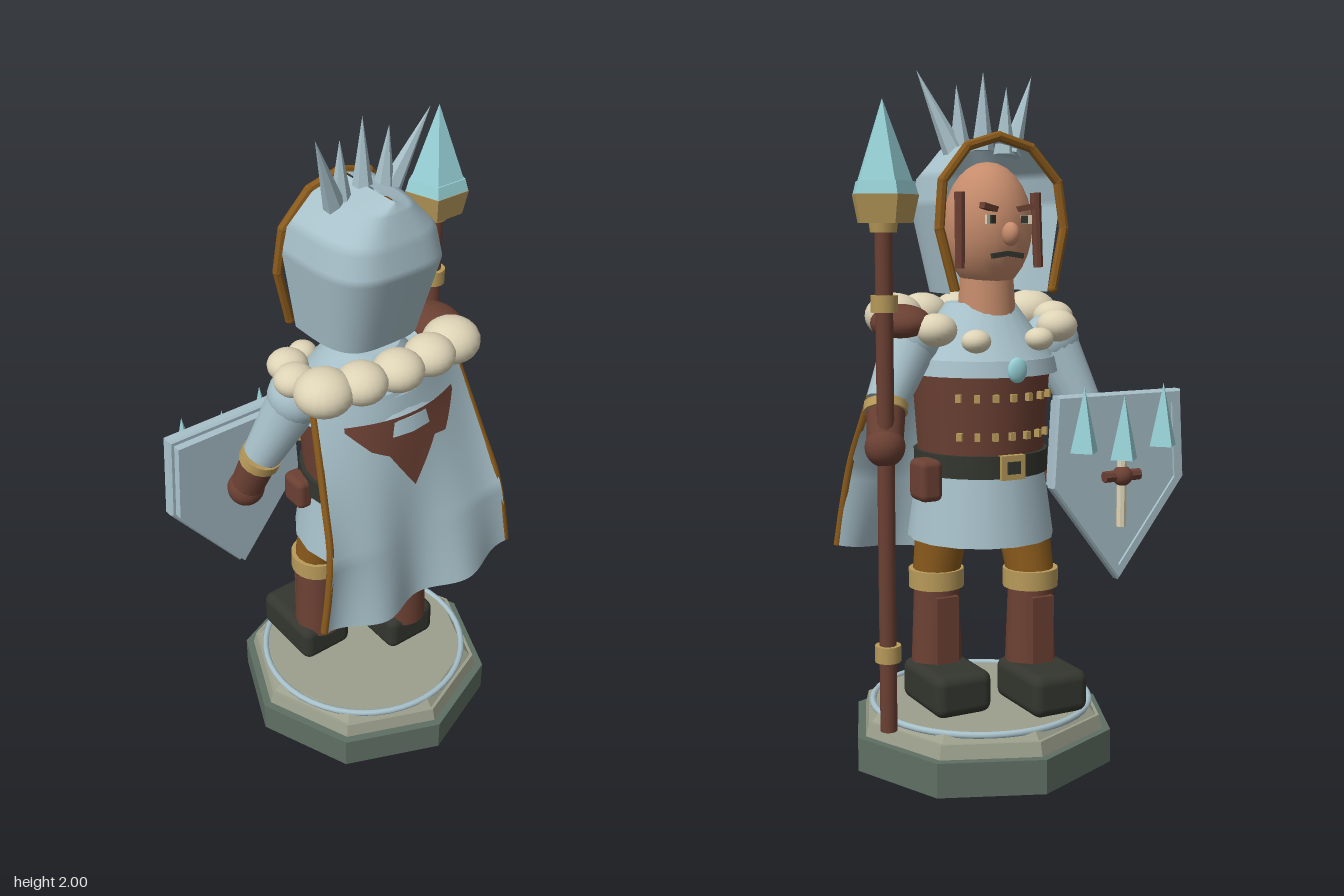
import * as THREE from 'three';
import { RoundedBoxGeometry } from 'three/addons/geometries/RoundedBoxGeometry.js';
import { ParametricGeometry } from 'three/addons/geometries/ParametricGeometry.js';

const mat = (name, color, side = THREE.FrontSide) => {
  const m = new THREE.MeshStandardMaterial({ color, side });
  m.name = name;
  return m;
};

export function createModel() {
  const stone = mat('dark stone', 0x5f6f63), sage = mat('sage stone', 0x9ca08c);
  const ice = mat('pale blue', 0xa8c1ca, THREE.DoubleSide), brown = mat('brown leather', 0x6b4033, THREE.DoubleSide);
  const dark = mat('dark leather', 0x34362f), gold = mat('gold', 0xb89a5a), ochre = mat('ochre', 0x8a5a1c);
  const cream = mat('cream fur', 0xddd3b6), skin = mat('skin', 0xc68c6c), crystal = mat('ice crystal', 0x98d2d8);

  const root = new THREE.Group();
  root.name = 'frostWarrior';
  const figure = new THREE.Group();
  figure.name = 'figure';
  figure.position.x = 0.05;
  root.add(figure);

  const V = (x, y, z) => new THREE.Vector3(x, y, z);
  const add = (name, geo, m, x = 0, y = 0, z = 0) => {
    const mesh = new THREE.Mesh(geo, m);
    mesh.name = name;
    mesh.position.set(x, y, z);
    figure.add(mesh);
    return mesh;
  };
  const flat = (geo) => {
    const g = geo.index ? geo.toNonIndexed() : geo;
    g.computeVertexNormals();
    return g;
  };
  const box = (name, w, h, d, m, x, y, z) => add(name, new THREE.BoxGeometry(w, h, d), m, x, y, z);
  const ball = (name, r, m, x, y, z, sx = 1, sy = 1, sz = 1) => {
    const b = add(name, new THREE.SphereGeometry(r, 20, 14), m, x, y, z);
    b.scale.set(sx, sy, sz);
    return b;
  };
  // Tapered rod from a to b
  const rod = (name, a, b, r1, r2, m, sides = 16) => {
    const dir = b.clone().sub(a);
    let geo = new THREE.CylinderGeometry(r2, r1, dir.length(), sides);
    if (sides < 10) geo = flat(geo);
    const mid = a.clone().add(b).multiplyScalar(0.5);
    const mesh = add(name, geo, m, mid.x, mid.y, mid.z);
    mesh.quaternion.setFromUnitVectors(V(0, 1, 0), dir.normalize());
    return mesh;
  };
  // Upright frustum between two heights
  const drum = (name, rTop, rBot, y0, y1, m, x = 0, z = 0, sides = 24) => {
    let geo = new THREE.CylinderGeometry(rTop, rBot, y1 - y0, sides);
    if (sides < 10) geo = flat(geo);
    return add(name, geo, m, x, (y0 + y1) / 2, z);
  };
  const lerp = THREE.MathUtils.lerp;

  // Pedestal
  drum('baseSlab', 0.4, 0.4, 0, 0.1, stone, 0, 0, 8);
  drum('baseStep', 0.365, 0.375, 0.1, 0.14, sage, 0, 0, 8);
  drum('baseTop', 0.335, 0.355, 0.14, 0.162, sage, 0, 0, 8);
  add('baseRing', new THREE.TorusGeometry(0.325, 0.01, 8, 48), ice, 0, 0.16, 0).rotation.x = Math.PI / 2;

  // Legs and boots
  for (const [s, z] of [[1, 0.045], [-1, -0.08]]) {
    const x = s * 0.125;
    add('boot', new RoundedBoxGeometry(0.18, 0.125, 0.258, 3, 0.03), dark, x, 0.226, z - 0.068);
    drum('bootShaft', 0.066, 0.076, 0.26, 0.53, brown, x, z);
    box('bootGuard', 0.07, 0.2, 0.02, brown, x, 0.39, z - 0.07);
    drum('bootCuff', 0.082, 0.082, 0.51, 0.565, gold, x, z);
    rod('trouserLeg', V(x, 0.55, z), V(s * 0.1, 0.82, z * 0.4), 0.07, 0.085, ochre);
  }

  // Tunic skirt, belt and vest
  const skirt = add('tunicSkirt', new THREE.CylinderGeometry(0.19, 0.22, 0.21, 16, 1, true), ice, 0, 0.77, 0);
  skirt.scale.x = 0.98;
  drum('skirtLining', 0.17, 0.19, 0.71, 0.87, ice);
  drum('belt', 0.197, 0.197, 0.86, 0.925, dark);
  drum('vest', 0.205, 0.185, 0.92, 1.2, brown);
  drum('mantle', 0.1, 0.215, 1.19, 1.35, ice);
  drum('mantleHem', 0.215, 0.225, 1.15, 1.195, ice);
  box('buckle', 0.075, 0.07, 0.02, gold, 0, 0.892, -0.195);
  box('buckleHole', 0.04, 0.035, 0.008, dark, 0, 0.892, -0.208);
  add('pouch', new RoundedBoxGeometry(0.07, 0.12, 0.095, 2, 0.02), brown, 0.21, 0.855, -0.07);
  add('pouch', new RoundedBoxGeometry(0.06, 0.1, 0.09, 2, 0.02), brown, -0.2, 0.86, -0.06);
  ball('brooch', 0.03, crystal, 0, 1.17, -0.225, 1, 1.2, 0.5);
  for (let i = -3; i <= 3; i++) for (const y of [0.98, 1.09]) {
    const a = i * 0.26, r = 0.196 + (y - 0.98) * 0.07;
    box('vestStud', 0.016, 0.022, 0.016, gold, Math.sin(a) * r, y, -Math.cos(a) * r).rotation.y = -a;
  }

  // Cape with spreading folds
  const cape = (u, v, off = 0) => {
    const edge = v < 0.65 ? lerp(0.1, 0.28, v / 0.65) : lerp(0.28, 0.3, (v - 0.65) / 0.35);
    const centre = 0.19 + 0.105 * v;
    const z = lerp(edge, centre, Math.cos(u * Math.PI / 2)) - 0.025 * v * v * Math.cos(u * 2.2 * Math.PI);
    return V(u * (0.25 + 0.1 * v), lerp(1.26, 0.61 - 0.035 * (1 - u * u), v), z + off);
  };
  for (const off of [0, -0.02]) {
    add('cape', new ParametricGeometry((a, b, t) => t.copy(cape(a * 2 - 1, b, off)), 36, 16), ice);
  }
  for (const s of [-1, 1]) {
    const pts = [0, 0.2, 0.4, 0.6, 0.8, 1].map((v) => cape(s, v, -0.01));
    add('capeTrim', new THREE.TubeGeometry(new THREE.CatmullRomCurve3(pts), 20, 0.012, 6), ochre);
  }
  // Ragged leather panel lying on the cape
  const ragged = [[-0.76, 0.1], [-0.5, 0.2], [-0.3, 0.24], [0, 0.42], [0.3, 0.23], [0.46, 0.24], [0.7, 0.1]];
  add('capePanel', new ParametricGeometry((a, b, t) => {
    const k = Math.min(5, Math.floor(a * 6)), f = a * 6 - k;
    const u = lerp(ragged[k][0], ragged[k + 1][0], f), low = lerp(ragged[k][1], ragged[k + 1][1], f);
    t.copy(cape(u, lerp(0.08, low, b), 0.012));
  }, 24, 6), brown);

  // Fur collar and shoulder guard
  for (const [x, y, z, r] of [
    [-0.225, 1.31, 0.11, 0.085], [-0.12, 1.315, 0.14, 0.075], [0, 1.315, 0.15, 0.075], [0.12, 1.315, 0.14, 0.075],
    [0.225, 1.31, 0.11, 0.085], [-0.245, 1.3, 0, 0.06], [-0.2, 1.28, -0.1, 0.06], [0.19, 1.28, -0.1, 0.06],
    [-0.1, 1.25, -0.17, 0.042], [0.1, 1.25, -0.17, 0.042]]) {
    ball('furTuft', r, cream, x, y, z, 1, 0.78, 1);
  }
  ball('shoulderGuard', 0.1, brown, 0.255, 1.295, -0.01, 0.85, 0.55, 1.08);

  // Arms: shoulder, wrist band, hand
  for (const [a, b, c] of [
    [V(0.23, 1.25, -0.02), V(0.335, 1.08, -0.08), V(0.365, 0.97, -0.14)],
    [V(-0.225, 1.23, -0.02), V(-0.305, 1.02, -0.09), V(-0.33, 0.87, -0.15)]]) {
    ball('shoulder', 0.085, ice, a.x, a.y, a.z);
    rod('sleeve', a, b, 0.08, 0.058, ice);
    const mid = b.clone().lerp(c, 0.2);
    rod('wristBand', b, mid, 0.062, 0.062, gold);
    rod('glove', b, c, 0.056, 0.05, brown);
    ball('hand', 0.056, brown, c.x, c.y, c.z);
  }

  // Head and face
  drum('neck', 0.075, 0.085, 1.3, 1.45, skin, 0, -0.04);
  ball('head', 0.13, skin, 0, 1.565, -0.045, 0.98, 1.4, 1.02);
  ball('nose', 0.03, skin, 0, 1.545, -0.185, 0.8, 1.1, 1);
  for (const s of [-1, 1]) {
    box('eye', 0.042, 0.025, 0.008, cream, s * 0.052, 1.585, -0.168).rotation.y = s * 0.35;
    box('pupil', 0.018, 0.023, 0.008, dark, s * 0.05, 1.585, -0.173).rotation.y = s * 0.35;
    box('eyebrow', 0.065, 0.016, 0.02, brown, s * 0.055, 1.617, -0.166).rotation.set(0, s * 0.35, s * 0.2);
    box('moustache', 0.05, 0.014, 0.014, dark, s * 0.024, 1.488, -0.166).rotation.z = -s * 0.15;
    rod('hairLock', V(s * 0.12, 1.66, -0.11), V(s * 0.125, 1.45, -0.12), 0.016, 0.014, brown, 8);
  }

  // Hood: [height, half width, back depth]
  const hoodRows = [[1.38, 0.155, 0.11], [1.62, 0.193, 0.18], [1.7, 0.178, 0.165], [1.785, 0.1, 0.135], [1.815, 0.004, 0.12]];
  const bend = (v) => Math.sign(v) * Math.abs(v) ** 0.55;
  add('hood', new ParametricGeometry((a, b, t) => {
    const k = Math.min(3, Math.floor(b * 4)), f = b * 4 - k;
    const [y, w, zb] = hoodRows[k].map((n, i) => lerp(n, hoodRows[k + 1][i], f));
    const ang = Math.PI * (1 - a);
    t.set(w * bend(Math.cos(ang)), y, lerp(-0.12, zb, bend(Math.max(0, Math.sin(ang)))));
  }, 24, 16), ice);
  const rim = [[0.155, 1.39, -0.15], [0.197, 1.56, -0.14], [0.182, 1.69, -0.13], [0.1, 1.785, -0.12], [0, 1.815, -0.115]];
  const arch = [...rim.map(([x, y, z]) => V(-x, y, z)), ...rim.slice(0, 4).reverse().map(([x, y, z]) => V(x, y, z))];
  for (let i = 0; i < arch.length - 1; i++) {
    rod('hoodRim', arch[i], arch[i + 1], 0.014, 0.014, ochre, 8);
    ball('hoodRimJoint', 0.014, ochre, arch[i].x, arch[i].y, arch[i].z);
  }

  // Icicle crown
  for (const [bx, by, tx, ty, tz] of [
    [-0.09, 1.77, -0.185, 2, 0.03], [-0.07, 1.77, -0.08, 1.96, -0.01], [0, 1.78, 0, 2, -0.02],
    [0.07, 1.77, 0.08, 1.96, -0.01], [0.09, 1.77, 0.185, 2, 0.03]]) {
    rod('crownSpike', V(bx, by, -0.018), V(tx, ty, tz), 0.032, 0, ice, 6);
  }

  // Spear
  const sx = 0.365, sz = -0.145;
  drum('spearShaft', 0.024, 0.024, 0.165, 1.6, brown, sx, sz, 12);
  for (const y of [0.39, 1.36]) drum('spearBand', 0.037, 0.037, y - 0.023, y + 0.023, gold, sx, sz, 12);
  drum('spearCollar', 0.04, 0.036, 1.55, 1.58, gold, sx, sz, 12);
  for (const [name, rt, rb, y0, y1, m] of [
    ['spearSocket', 0.097, 0.08, 1.575, 1.65, gold], ['spearGemBase', 0.085, 0.095, 1.65, 1.685, crystal],
    ['spearTip', 0, 0.08, 1.685, 1.9, crystal]]) {
    drum(name, rt, rb, y0, y1, m, sx, sz, 5).rotation.y = Math.PI;
  }

  // Shield
  const cx = -0.33;
  const outline = (k) => [[-0.205, 0.255], [0.205, 0.255], [0.22, 0], [0, -0.285], [-0.22, 0]]
    .map(([x, y]) => new THREE.Vector2(x * k, y * k));
  const plate = new THREE.ExtrudeGeometry(new THREE.Shape(outline(0.96)), { depth: 0.05, bevelEnabled: false });
  add('shieldBoard', plate, ice, cx, 0.83, -0.232);
  const edge = new THREE.Shape(outline(1));
  edge.holes.push(new THREE.Path(outline(0.87)));
  const frame = new THREE.ExtrudeGeometry(edge, { depth: 0.025, bevelThickness: 0.008, bevelSize: 0.006, bevelSegments: 1 });
  add('shieldFrame', frame, ice, cx, 0.83, -0.24);
  for (const [x, y] of [[-0.135, 0.93], [0, 0.9], [0.135, 0.93]]) {
    drum('shieldCrystal', 0, 0.046, y, y + 0.185, crystal, cx + x, -0.265, 4);
  }
  rod('shieldHandle', V(cx, 0.7, -0.255), V(cx, 0.9, -0.255), 0.015, 0.015, cream, 8);
  rod('shieldCrossbar', V(cx - 0.06, 0.85, -0.255), V(cx + 0.06, 0.85, -0.255), 0.017, 0.017, brown, 8);
  ball('shieldBoss', 0.03, brown, cx, 0.85, -0.258);

  return root;
}
